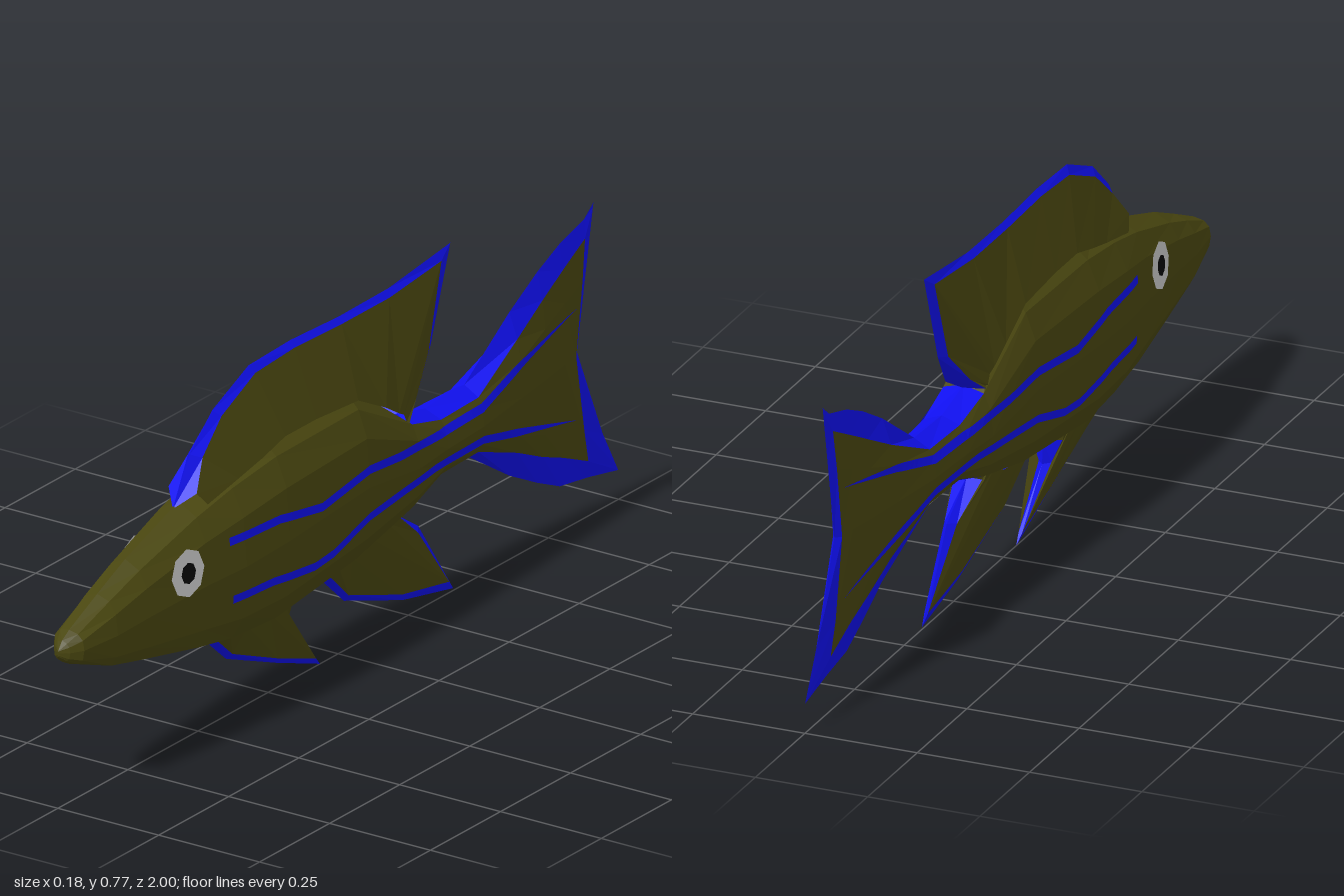
import * as THREE from 'three';

const material = (color) => new THREE.MeshStandardMaterial({ color, flatShading: true, side: THREE.DoubleSide });
const olive = material(0x4a4710), blue = material(0x1010f0), white = material(0xcccccc), black = material(0x080808);
const lerp = THREE.MathUtils.lerp;

// Adds a quad on the left side and its mirror image on the right.
function quad(out, a, b, c, d) {
  const m = ([x, y, z]) => [-x, y, z];
  for (const p of [a, b, c, a, c, d]) out.push(...p);
  for (const p of [a, c, b, a, d, c]) out.push(...m(p));
}

function makeMesh(positions, mat, name) {
  const g = new THREE.BufferGeometry();
  g.setAttribute('position', new THREE.Float32BufferAttribute(positions, 3));
  g.computeVertexNormals();
  const mesh = new THREE.Mesh(g, mat);
  mesh.name = name;
  return mesh;
}

// Body cross-sections: z, top y, shoulder y, shoulder x, half width, belly y, belly x, bottom y,
// then the backward sweep of the upper and lower part
const sections = [
  [1, .345, .345, 0, 0, .335, 0, .335],
  [.985, .365, .36, .012, .02, .322, .012, .318],
  [.96, .38, .375, .022, .038, .31, .022, .305],
  [.86, .425, .415, .03, .052, .275, .035, .268],
  [.76, .468, .45, .035, .06, .255, .04, .247],
  [.57, .53, .505, .045, .075, .22, .05, .208],
  [.45, .56, .53, .05, .086, .2, .05, .183],
  [.3, .6, .55, .055, .09, .195, .055, .175],
  [0, .6, .55, .05, .08, .22, .045, .2],
  [-.2, .46, .448, .045, .066, .265, .045, .25],
  [-.31, .435, .42, .04, .058, .3, .04, .285],
  [-.45, .44, .42, .035, .05, .3, .035, .285],
  [-.61, .545, .49, .02, .033, .24, .02, .185],
  [-.71, .6, .54, .013, .022, .195, .013, .135],
  [-.79, .635, .58, .009, .014, .165, .009, .1],
  [-.83, .66, .62, .006, .01, .125, .006, .085, .15, .25],
  [-.845, .685, .675, 0, 0, .075, 0, .065, .19, .56],
];

function bodyRing([z, top, ya, xa, w, yd, xd, bottom, up = 0, down = 0]) {
  const half = [
    [0, top], [xa, ya], [w * .9, lerp(ya, yd, .18)], [w, lerp(ya, yd, .5)],
    [w * .9, lerp(ya, yd, .85)], [xd, yd], [0, bottom],
  ];
  return half.map(([x, y]) => [x, y, z - (y > .34 ? up * (y - .34) : down * (.34 - y))]);
}

// Fin stations, front to back: outer edge z y, inner edge z y x, root z y x
const fins = {
  dorsalFin: [
    [.59, .52, .555, .55, .035, .53, .52, .045],
    [.53, .62, .51, .61, .018, .42, .54, .045],
    [.45, .69, .435, .675, .013, .34, .56, .05],
    [.32, .745, .31, .727, .01, .26, .58, .05],
    [.17, .75, .17, .735, .01, .15, .58, .05],
    [0, .743, 0, .729, .009, 0, .57, .05],
    [-.18, .745, -.17, .729, .009, -.1, .52, .05],
    [-.4, .77, -.36, .745, .006, -.15, .49, .047],
    [-.33, .57, -.305, .565, .012, -.17, .48, .045],
    [-.25, .49, -.235, .49, .03, -.18, .46, .045],
    [-.2, .45, -.19, .455, .045, -.17, .45, .045],
  ],
  pelvicFin: [
    [.47, .185, .46, .19, .02, .44, .2, .04],
    [.4, .125, .395, .137, .012, .38, .2, .04],
    [.22, .055, .225, .068, .006, .3, .2, .04],
    [.065, 0, .085, .02, .004, .25, .2, .04],
    [.195, .13, .21, .13, .014, .23, .2, .04],
    [.2, .18, .22, .18, .035, .22, .2, .04],
  ],
  analFin: [
    [.08, .2, .07, .205, .02, .05, .22, .035],
    [-.02, .11, -.02, .125, .012, 0, .22, .035],
    [-.23, .04, -.22, .057, .006, -.08, .23, .035],
    [-.41, .005, -.39, .027, .004, -.13, .25, .035],
    [-.285, .185, -.265, .18, .014, -.16, .26, .035],
    [-.185, .25, -.175, .245, .035, -.16, .27, .04],
  ],
};

// Side stripes as z, y points
const stripes = [
  [[.5, .435], [.33, .43], [.18, .405], [0, .425], [-.125, .41], [-.285, .4], [-.45, .4], [-.61, .44], [-.83, .48]],
  [[.49, .305], [.355, .3], [.2, .28], [.13, .285], [0, .32], [-.26, .335], [-.45, .33], [-.61, .29], [-.83, .235]],
];

export function createModel() {
  const model = new THREE.Group();
  model.name = 'fish';

  // Body and tail, with a blue edge from the tail stem backward
  const skin = [], edge = [];
  const rings = sections.map(bodyRing);
  for (let i = 0; i < rings.length - 1; i++) {
    for (let j = 0; j < 6; j++) {
      const isEdge = i === rings.length - 2 || (i >= 9 && (j === 0 || j === 5));
      quad(isEdge ? edge : skin, rings[i][j], rings[i][j + 1], rings[i + 1][j + 1], rings[i + 1][j]);
    }
  }
  const body = makeMesh(skin, olive, 'body');
  model.add(body, makeMesh(edge, blue, 'tailEdge'));

  // Fins with a thin blue rim
  for (const [name, stations] of Object.entries(fins)) {
    const web = [], rim = [];
    const rows = stations.map(([zo, yo, zi, yi, xi, zr, yr, xr]) => [[0, yo, zo], [xi, yi, zi], [xr, yr, zr]]);
    for (let i = 0; i < rows.length - 1; i++) {
      const [a, b] = name === 'dorsalFin' ? [rows[i], rows[i + 1]] : [rows[i + 1], rows[i]];
      quad(rim, a[0], a[1], b[1], b[0]);
      quad(web, a[1], a[2], b[2], b[1]);
    }
    const fin = new THREE.Group();
    fin.name = name;
    fin.add(makeMesh(web, olive, name + 'Web'), makeMesh(rim, blue, name + 'Rim'));
    model.add(fin);
  }

  // Finds the left flank of the body at a given height and depth
  const ray = new THREE.Raycaster();
  const flank = (y, z) => {
    ray.set(new THREE.Vector3(1, y, z), new THREE.Vector3(-1, 0, 0));
    return ray.intersectObject(body)[0];
  };

  // Stripes laid on the flanks, pointed at the tail end
  stripes.forEach((points, k) => {
    const strip = [], steps = 8, samples = [];
    for (let i = 0; i < points.length - 1; i++) {
      for (let s = 0; s < steps + (i === points.length - 2 ? 1 : 0); s++) {
        const z = lerp(points[i][0], points[i + 1][0], s / steps);
        const y = lerp(points[i][1], points[i + 1][1], s / steps);
        const h = .009 * Math.min(1, (z + .835) / .25);
        samples.push([y + h, y - h].map((v) => [(flank(v, z)?.point.x ?? .01) + .003, v, z]));
      }
    }
    for (let i = 0; i < samples.length - 1; i++) {
      quad(strip, samples[i][0], samples[i][1], samples[i + 1][1], samples[i + 1][0]);
    }
    model.add(makeMesh(strip, blue, k ? 'lowerStripes' : 'upperStripes'));
  });

  // Eyes resting on the sides of the head
  const hit = flank(.41, .635);
  for (const side of [1, -1]) {
    const eye = new THREE.Group();
    eye.name = side > 0 ? 'leftEye' : 'rightEye';
    const iris = new THREE.Mesh(new THREE.CircleGeometry(.052, 8), white);
    iris.name = 'iris';
    const pupil = new THREE.Mesh(new THREE.CircleGeometry(.023, 8), black);
    pupil.name = 'pupil';
    pupil.position.z = .002;
    eye.add(iris, pupil);
    const n = hit.face.normal.clone();
    const p = hit.point.clone().addScaledVector(n, .004);
    n.x *= side;
    p.x *= side;
    eye.position.copy(p);
    eye.lookAt(p.clone().add(n));
    model.add(eye);
  }
  return model;
}
